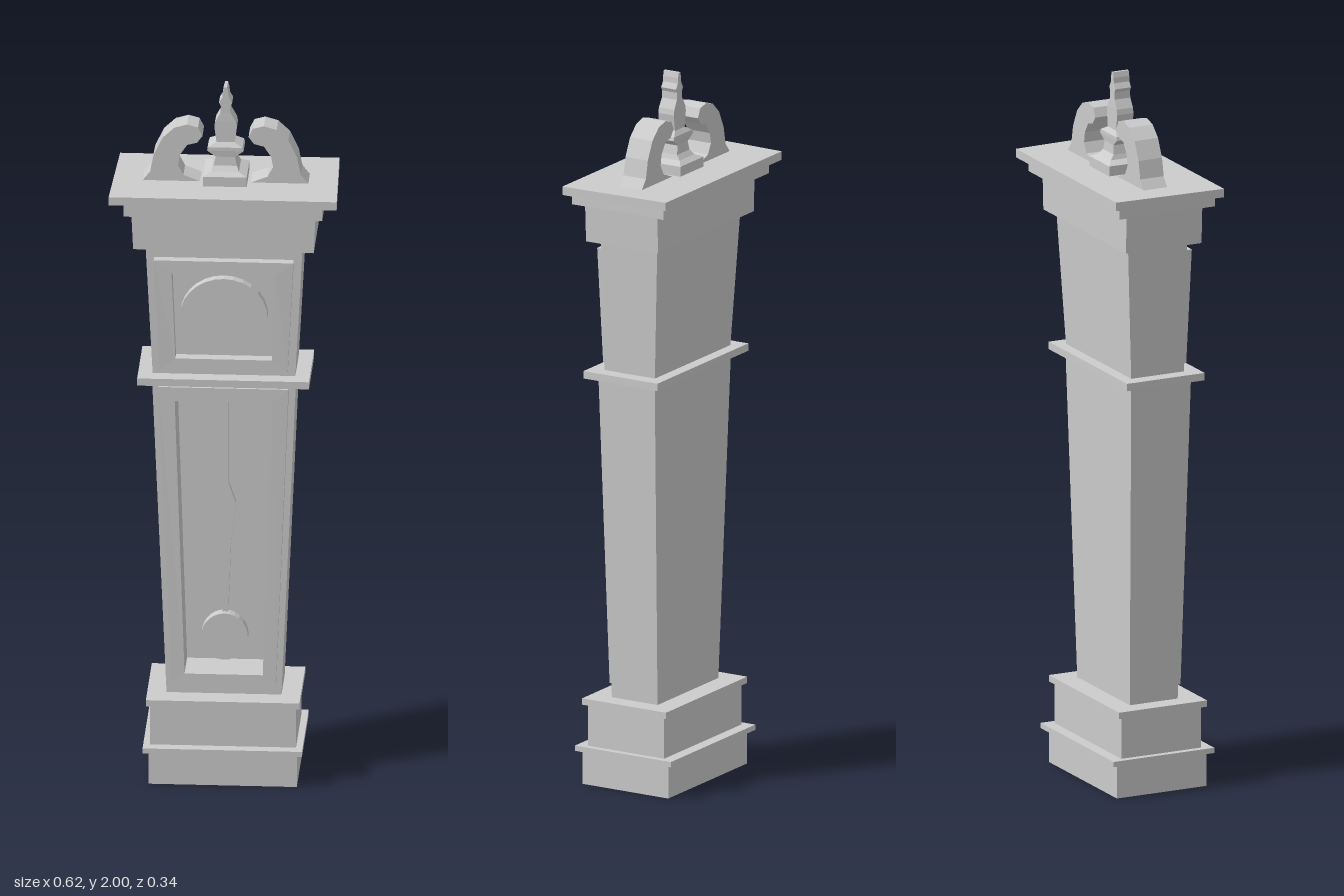
import * as THREE from 'three';

const material = new THREE.MeshStandardMaterial({ color: 0xcccccc, flatShading: true });

function addMesh(parent, name, geometry) {
  const mesh = new THREE.Mesh(geometry, material);
  mesh.name = name;
  parent.add(mesh);
  return mesh;
}

// Skin a list of four-cornered rings and cap both ends.
function loft(rings) {
  const pos = [];
  const quad = (a, b, c, d) => pos.push(...a, ...b, ...c, ...a, ...c, ...d);
  for (let r = 0; r < rings.length - 1; r++) {
    const a = rings[r], b = rings[r + 1];
    for (let i = 0; i < 4; i++) {
      const j = (i + 1) % 4;
      quad(a[i], a[j], b[j], b[i]);
    }
  }
  const first = rings[0], last = rings[rings.length - 1];
  quad(first[3], first[2], first[1], first[0]);
  quad(...last);
  const geometry = new THREE.BufferGeometry();
  geometry.setAttribute('position', new THREE.Float32BufferAttribute(pos, 3));
  geometry.computeVertexNormals();
  return geometry;
}

// Horizontal rectangle at height y.
const level = (y, hx, back, front, hxBack = hx) =>
  [[-hx, y, front], [hx, y, front], [hxBack, y, back], [-hxBack, y, back]];

// Upright trapezoid, facing front; z may differ at bottom and top.
const panel = ([yb, yt, xb, xt], zb, zt = zb) =>
  [[-xb, yb, zb], [xb, yb, zb], [xt, yt, zt], [-xt, yt, zt]];

// Tapered case: shell, raised door frame, and opening sunk to a given depth.
function caseGeometry(outer, frame, opening, backZ, frontZ, frameZ, depthZ) {
  return loft([
    panel(outer, ...backZ), panel(outer, frontZ),
    panel(frame, frontZ), panel(frame, ...frameZ),
    panel(opening, ...frameZ), panel(opening, depthZ),
  ]);
}

function disc(parent, name, rx, ry, y, z, depth) {
  const geometry = new THREE.CylinderGeometry(1, 1, depth, 28).rotateX(Math.PI / 2);
  geometry.scale(rx, ry, 1);
  addMesh(parent, name, geometry).position.set(0, y, z);
}

export function createModel() {
  const clock = new THREE.Group();
  clock.name = 'longcaseClock';

  // Plinth, mouldings and cornice: name, bottom, top, half width, back, front
  const slabs = [
    ['plinth', 0, 0.095, 0.203, -0.12, 0.155],
    ['plinthMoulding', 0.095, 0.11, 0.218, -0.138, 0.171],
    ['upperPlinth', 0.11, 0.227, 0.2, -0.105, 0.14],
    ['trunkMoulding', 0.227, 0.245, 0.21, -0.117, 0.153],
    ['waistMoulding', 1.163, 1.184, 0.235, -0.105, 0.133],
    ['cornice', 1.558, 1.665, 0.247, -0.115, 0.117, 0.252],
    ['upperCornice', 1.665, 1.7, 0.272, -0.148, 0.146],
  ];
  for (const [name, y0, y1, hx, back, front, topHx = hx] of slabs)
    addMesh(clock, name, loft([level(y0, hx, back, front), level(y1, topHx, back, front)]));
  addMesh(clock, 'topBoard', loft([
    level(1.7, 0.312, -0.172, 0.153, 0.3), level(1.724, 0.312, -0.172, 0.153, 0.3)]));

  // Trunk with door opening, and hood with dial opening
  addMesh(clock, 'trunk', caseGeometry(
    [0.24, 1.17, 0.157, 0.197], [0.28, 1.155, 0.143, 0.178], [0.307, 1.115, 0.107, 0.133],
    [-0.057, -0.073], 0.09, [0.106, 0.12], -0.01));
  addMesh(clock, 'hood', caseGeometry(
    [1.18, 1.565, 0.195, 0.215], [1.2, 1.526, 0.175, 0.191], [1.235, 1.49, 0.132, 0.142],
    [-0.072, -0.092], 0.09, [0.107, 0.116], 0.075));
  disc(clock, 'dial', 0.12, 0.112, 1.358, 0.088, 0.028);

  // Pendulum with a kinked rod
  const pendulum = new THREE.Group();
  pendulum.name = 'pendulum';
  clock.add(pendulum);
  const rodPath = [[1.125, 0.002], [0.85, 0.002], [0.79, 0.022], [0.66, 0.008], [0.44, 0]];
  const rodRings = rodPath.reverse().map(([y, x]) =>
    level(y, 0.008, 0.035, 0.051).map(([px, py, pz]) => [px + x, py, pz]));
  addMesh(pendulum, 'pendulumRod', loft(rodRings));
  disc(pendulum, 'pendulumBob', 0.064, 0.068, 0.403, 0.053, 0.03);

  // Swan-neck scrolls
  const scrollOutline = [
    [0.228, 1.722], [0.206, 1.75], [0.196, 1.8], [0.172, 1.85], [0.14, 1.88],
    [0.105, 1.89], [0.075, 1.882], [0.063, 1.857], [0.078, 1.837], [0.105, 1.83],
    [0.125, 1.8], [0.13, 1.77], [0.115, 1.742], [0.065, 1.722],
  ];
  for (const side of [-1, 1]) {
    const shape = new THREE.Shape(scrollOutline.map(([x, y]) => new THREE.Vector2(side * x, y)));
    const scroll = new THREE.ExtrudeGeometry(shape, { depth: 0.072, bevelEnabled: false });
    addMesh(clock, side > 0 ? 'leftScroll' : 'rightScroll', scroll).position.z = -0.05;
  }

  // Square-section finial: height, half width, half depth
  const finialProfile = [
    [1.722, 0.06, 0.064], [1.752, 0.06, 0.064], [1.762, 0.038, 0.048], [1.775, 0.032, 0.036],
    [1.8, 0.026, 0.034], [1.818, 0.05, 0.036], [1.828, 0.047, 0.036], [1.84, 0.025, 0.025],
    [1.885, 0.031, 0.025], [1.9, 0.028, 0.025], [1.925, 0.014, 0.024], [1.945, 0.013, 0.024],
    [1.955, 0.018, 0.024], [1.97, 0.009, 0.024], [1.985, 0.008, 0.024], [2, 0.004, 0.024],
  ];
  addMesh(clock, 'finial', loft(finialProfile.map(([y, hx, hz]) =>
    level(y, hx, -0.006 - hz, -0.006 + hz))));

  return clock;
}
